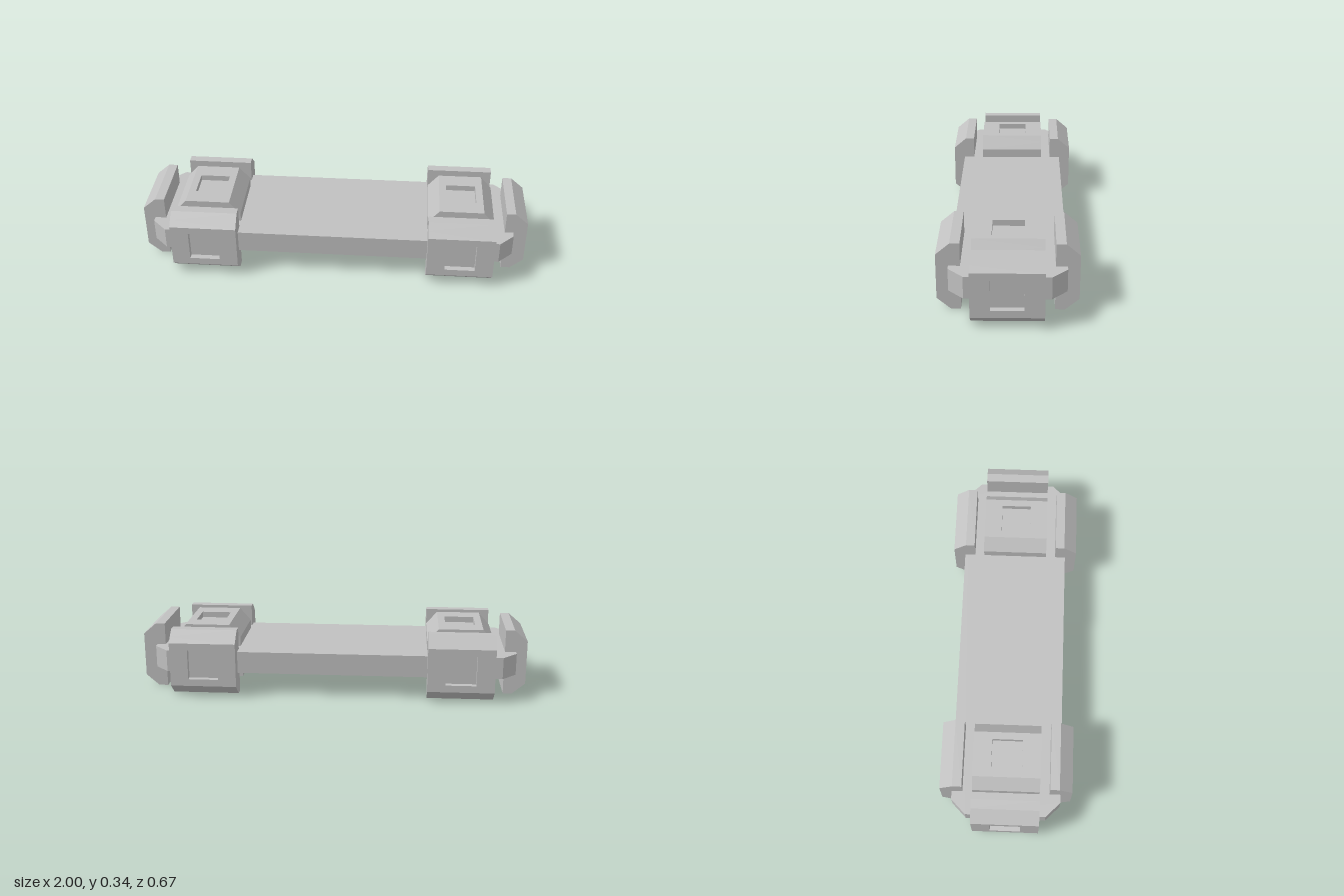
import * as THREE from 'three';

const grey = new THREE.MeshStandardMaterial({ color: 0xc0c0c0 });
grey.name = 'plain grey';

// Armour plate: half width, half height, thickness, side thickness, face half height
const W = 0.17, H = 0.171, T = 0.113, S = 0.047, F = 0.114;
const HOLE = 0.0775, DEPTH = 0.03;
// half height of the sloped edge at the floor of the recess
const M = F + (H - F) * DEPTH / (T - S);

function polygon(points) {
  return new THREE.Shape(points.map(([x, y]) => new THREE.Vector2(x, y)));
}

function extrude(shape, depth) {
  return new THREE.ExtrudeGeometry(shape, { depth, bevelEnabled: false });
}

function add(parent, geometry, name) {
  const mesh = new THREE.Mesh(geometry, grey);
  mesh.name = name;
  parent.add(mesh);
  return mesh;
}

// Plate body up to the recess floor, its outer side facing +z
function plateBody() {
  const floor = T - DEPTH;
  const g = extrude(polygon([[0, -H], [S, -H], [floor, -M], [floor, M], [S, H], [0, H]]), 2 * W);
  g.translate(0, 0, -W);
  g.rotateY(-Math.PI / 2);
  return g;
}

// Square frame around the recess, its base flared to continue the chamfers
function plateFrame() {
  const face = polygon([[-W, -F], [W, -F], [W, F], [-W, F]]);
  face.holes.push(polygon([[-HOLE, -HOLE], [-HOLE, HOLE], [HOLE, HOLE], [HOLE, -HOLE]]));
  const g = extrude(face, DEPTH);
  const p = g.attributes.position;
  for (let i = 0; i < p.count; i++) {
    if (p.getZ(i) < 0.001 && Math.abs(p.getY(i)) > HOLE + 0.01) {
      p.setY(i, Math.sign(p.getY(i)) * M);
    }
  }
  g.computeVertexNormals();
  g.translate(0, 0, T - DEPTH);
  return g;
}

export function createModel() {
  const model = new THREE.Group();
  model.name = 'armouredBar';

  // Long flat bar with clipped corners
  const a = -0.944, b = 0.931, d = 0.275, c = 0.073;
  const bar = extrude(polygon([
    [a + c, -d], [b - c, -d], [b, -d + c], [b, d - c],
    [b - c, d], [a + c, d], [a, d - c], [a, -d + c],
  ]), 0.113);
  bar.rotateX(-Math.PI / 2);
  bar.translate(0, 0.115, 0);
  add(model, bar, 'bar');

  // Four recessed plates around each end
  const body = plateBody(), frame = plateFrame();
  const q = Math.PI / 2;
  function plate(name, position, rotation) {
    const group = new THREE.Group();
    group.name = name;
    add(group, body, 'plateBody');
    add(group, frame, 'plateFrame');
    group.position.set(...position);
    group.rotation.set(...rotation);
    model.add(group);
  }
  for (const [side, s] of [['left', 1], ['right', -1]]) {
    const x = 0.659 * s;
    plate(side + 'FrontPlate', [x, H, 0.22], [0, 0, 0]);
    plate(side + 'BackPlate', [x, H, -0.22], [0, 2 * q, 0]);
    plate(side + 'EndPlate', [0.887 * s, H, 0], [0, q * s, 0]);
    plate(side + 'TopPlate', [x, 0.228, 0], [-q, 0, q]);

    // Plain pad under the bar
    const pad = add(model, new THREE.BoxGeometry(0.338, 0.055, 0.34), side + 'BottomPad');
    pad.position.set(s > 0 ? 0.65 : -0.661, 0.0875, 0);
  }
  return model;
}
